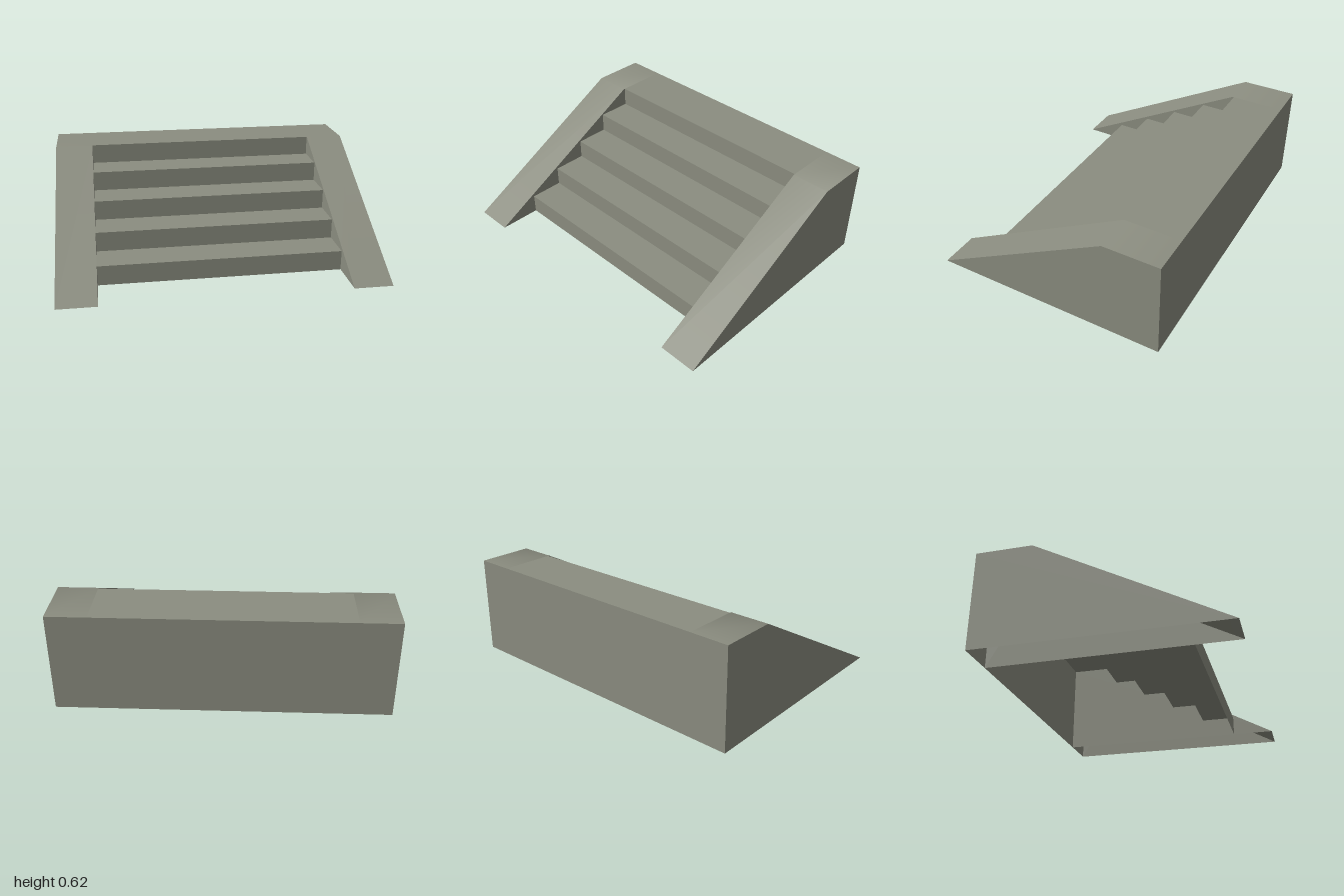
import * as THREE from 'three';

const STEPS = 5, HEIGHT = 0.625, BACK = -0.75, INNER = 0.757;
const FIRST_RISER = 0.48, TREAD = 0.2225;
// Side outline of a cheek wall as [z, y]: toe, top of slope, top rear
const SLOPE = [[0.75, 0], [-0.4, HEIGHT], [BACK, HEIGHT]];

// Sheet that sweeps a [z, y] profile across from x0 to x1
function ribbon(profile, x0, x1, smooth) {
  const pos = [], index = [];
  profile.forEach(([z, y], i) => {
    pos.push(x0, y, z, x1, y, z);
    if (i) {
      const a = 2 * i - 2;
      index.push(a, a + 1, a + 3, a, a + 3, a + 2);
    }
  });
  let geo = new THREE.BufferGeometry();
  geo.setAttribute('position', new THREE.Float32BufferAttribute(pos, 3));
  geo.setIndex(index);
  if (!smooth) geo = geo.toNonIndexed();
  geo.computeVertexNormals();
  return geo;
}

// Upright cheek face at x, facing +x (1) or -x (-1)
function cheekFace(x, facing) {
  const outline = [...SLOPE, [BACK, 0]].map(([z, y]) => new THREE.Vector2(-facing * z, y));
  return new THREE.ShapeGeometry(new THREE.Shape(outline))
    .rotateY(facing * Math.PI / 2)
    .translate(x, 0, 0);
}

export function createModel() {
  const model = new THREE.Group();
  model.name = 'staircase';
  const stone = new THREE.MeshStandardMaterial({ color: 0x8b8d80, side: THREE.DoubleSide });
  stone.name = 'stone';

  const add = (name, geo, parent = model) => {
    const mesh = new THREE.Mesh(geo, stone);
    mesh.name = name;
    parent.add(mesh);
  };

  // Risers and treads, ending in the top landing
  const stairs = [];
  for (let i = 0; i < STEPS; i++) {
    const z = FIRST_RISER - i * TREAD;
    stairs.push([z, HEIGHT * i / STEPS], [z, HEIGHT * (i + 1) / STEPS]);
  }
  stairs.push([BACK, HEIGHT]);
  add('steps', ribbon(stairs, -INNER, INNER, false));

  // Back wall; the underside stays open
  add('backWall', ribbon([[BACK, HEIGHT], [BACK, 0]], -1, 1, false));

  // Hollow sloping cheek on each side
  for (const s of [1, -1]) {
    const cheek = new THREE.Group();
    cheek.name = s > 0 ? 'leftCheek' : 'rightCheek';
    add('outerFace', cheekFace(s, s), cheek);
    add('innerFace', cheekFace(s * INNER, -s), cheek);
    add('slopeCap', ribbon(SLOPE, Math.min(s, s * INNER), Math.max(s, s * INNER), true), cheek);
    model.add(cheek);
  }
  return model;
}
